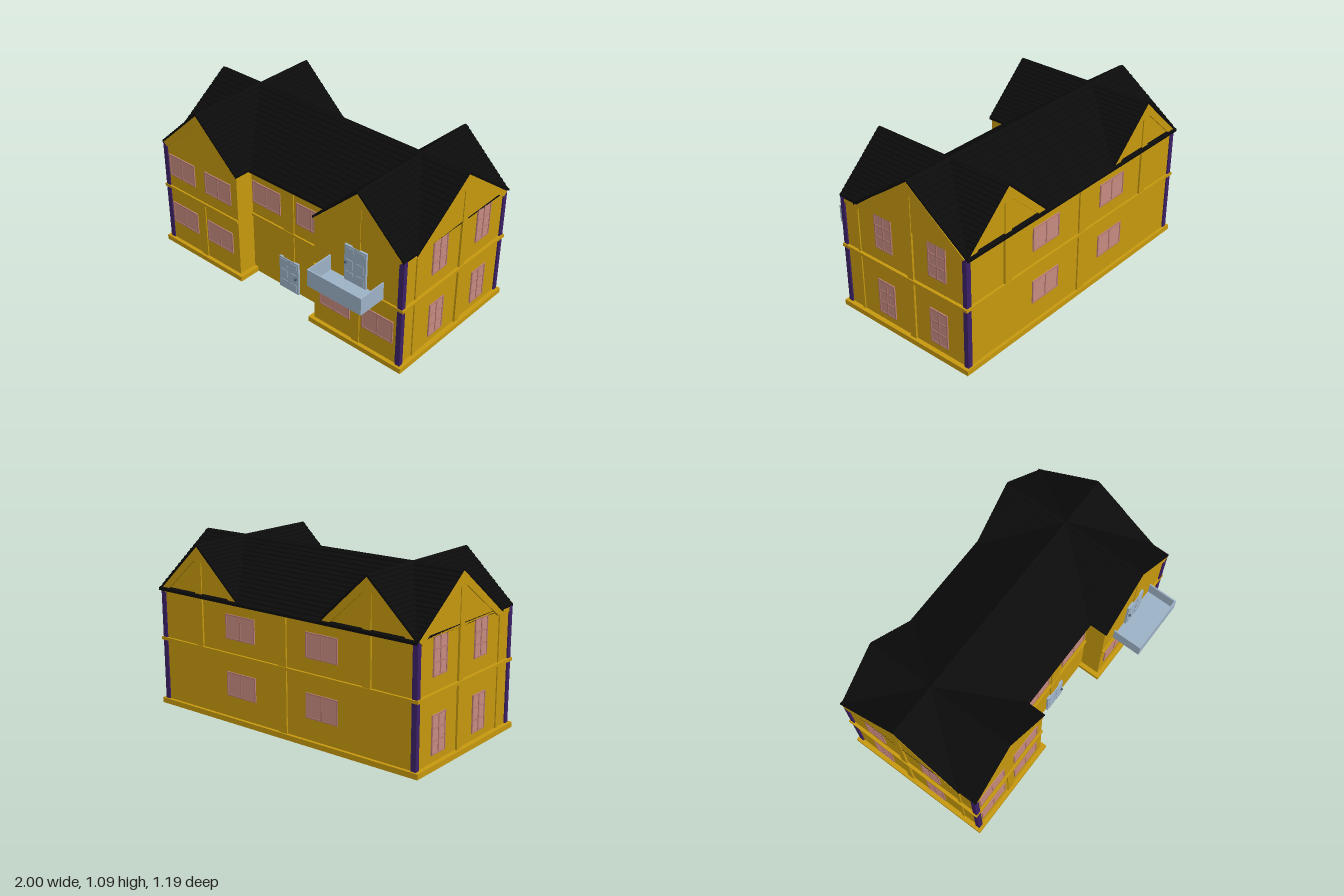
import * as THREE from 'three';

const mat = (color) => new THREE.MeshStandardMaterial({ color, flatShading: true });
const WALL = mat(0xc99b0f), ROOF = mat(0x0b0b0b), POST = mat(0x3d2068);
const GLASS = mat(0xc98d82), FRAME = mat(0xb87c74), BLUE = mat(0x9fb4c9), KNOB = mat(0x4a5560);

const RIDGE_Z = -0.15, CROSS_X = 0.645;

function add(parent, name, geometry, material, x = 0, y = 0, z = 0) {
  const mesh = new THREE.Mesh(geometry, material);
  mesh.name = name;
  mesh.position.set(x, y, z);
  parent.add(mesh);
  return mesh;
}

// box given by its limits
function box(parent, name, material, x0, x1, y0, y1, z0, z1) {
  return add(parent, name, new THREE.BoxGeometry(x1 - x0, y1 - y0, z1 - z0), material,
    (x0 + x1) / 2, (y0 + y1) / 2, (z0 + z1) / 2);
}

function extrude(points, depth) {
  const shape = new THREE.Shape(points.map(([x, y]) => new THREE.Vector2(x, y)));
  return new THREE.ExtrudeGeometry(shape, { depth, bevelEnabled: false });
}

// U-shaped ground plan raised to a height
function plan(x, xi, back, recess, front, height) {
  const points = [[-x, back], [x, back], [x, front], [xi, front], [xi, recess],
    [-xi, recess], [-xi, front], [-x, front]].map(([px, pz]) => [px, -pz]);
  return extrude(points, height).rotateX(-Math.PI / 2);
}

// pitched roof with overlapping courses, extruded along z
function roofGeometry(half, eave, ridge, length) {
  const courses = 16, lip = 0.006, thick = 0.017, right = [];
  for (let i = 0; i < courses; i++) {
    const at = (k) => [half * k / courses, ridge - lip + (eave - ridge) * k / courses];
    const [u0, y0] = at(i), [u1, y1] = at(i + 1);
    right.push([u0, y0], [u1, y1 + lip]);
  }
  right.push([half, eave - lip]);
  const left = right.slice(1).reverse().map(([u, y]) => [-u, y]);
  const under = [[half, eave - thick], [0, ridge - thick - 0.004], [-half, eave - thick]];
  return extrude([...left, ...right, ...under], length);
}

// triangular wall under a roof, extruded along z
const gableGeometry = (half, base, top, length) =>
  extrude([[-half, base], [half, base], [0, top]], length);

// sloping boards under the edge of a gable
function gableTrim(parent, u, half, base, top, depth) {
  const w = 0.065;
  add(parent, 'gableTrim', extrude([[-half, base], [-half + 0.03, base - 0.025], [0, top - w],
    [half - 0.03, base - 0.025], [half, base], [0, top]], depth), WALL, u);
}

function windowUnit(parent, u0, u1, y0, y1, rows) {
  const g = new THREE.Group();
  g.name = 'window';
  parent.add(g);
  const f = 0.008, d = 0.008;
  box(g, 'glass', GLASS, u0, u1, y0, y1, -0.01, 0.004);
  for (const u of [u0, (u0 + u1 - f) / 2, u1 - f]) box(g, 'mullion', FRAME, u, u + f, y0, y1, 0, d);
  for (let i = 0; i <= rows; i++) {
    const y = y0 + (y1 - y0 - f) * i / rows;
    box(g, 'glazingBar', FRAME, u0, u1, y, y + f, 0, d);
  }
}

function door(parent, name, u0, u1, y0, y1, knobU, knobY) {
  const g = new THREE.Group();
  g.name = name;
  parent.add(g);
  box(g, 'doorLeaf', BLUE, u0, u1, y0, y1, -0.01, 0.014);
  const w = (u1 - u0) / 2, h = (y1 - y0) / 3;
  for (let i = 0; i < 2; i++) for (let j = 0; j < 3; j++) {
    const u = u0 + i * w, y = y0 + j * h;
    box(g, 'doorPanel', BLUE, u + 0.014, u + w - 0.014, y + 0.012, y + h - 0.012, 0.01, 0.017);
  }
  add(g, 'doorKnob', new THREE.SphereGeometry(0.009, 12, 8), KNOB, knobU, knobY, 0.021);
}

// group whose local +z points out of a wall
function wallFace(parent, name, x, z, angle) {
  const g = new THREE.Group();
  g.name = name;
  g.position.set(x, 0, z);
  g.rotation.y = angle;
  parent.add(g);
  return g;
}

const LOWER = [0.17, 0.325], UPPER = [0.535, 0.69], BAND = [0.428, 0.447];

export function createModel() {
  const house = new THREE.Group();
  house.name = 'house';

  // walls and plinth
  add(house, 'plinth', plan(1, 0.29, -0.59, 0.265, 0.425, 0.034), WALL);
  add(house, 'walls', plan(0.97, 0.32, -0.57, 0.27, 0.4, 0.765), WALL);
  for (const s of [-1, 1]) {
    add(house, 'crossGable', gableGeometry(0.328, 0.76, 1.073, 0.98), WALL, s * CROSS_X, 0, -0.575);
    for (const z of [-0.563, 0.393])
      box(house, 'cornerPost', POST, s * 0.963 - 0.017, s * 0.963 + 0.017, 0.03, 0.768, z - 0.015, z + 0.015);
  }
  add(house, 'sideGable', gableGeometry(0.425, 0.762, 1.078, 1.956).rotateY(Math.PI / 2), WALL, -0.978, 0, RIDGE_Z);

  // roofs
  add(house, 'mainRoof', roofGeometry(0.445, 0.772, 1.095, 1.966).rotateY(Math.PI / 2), ROOF, -0.983, 0, RIDGE_Z);
  for (const s of [-1, 1])
    add(house, 'crossRoof', roofGeometry(0.333, 0.78, 1.095, 1.0), ROOF, s * CROSS_X, 0, -0.587);

  // front of the two wings
  const front = wallFace(house, 'frontFace', 0, 0.4, 0);
  for (const s of [-1, 1]) {
    const lo = s < 0 ? -0.99 : 0.32, hi = s < 0 ? -0.32 : 0.99;
    box(front, 'floorBand', WALL, lo, hi, ...BAND, -0.01, 0.012);
    box(front, 'timber', WALL, s * CROSS_X - 0.028, s * CROSS_X + 0.028, 0.03, 0.43, 0, 0.008);
    gableTrim(front, s * CROSS_X, 0.325, 0.768, 1.073, 0.012);
  }
  box(front, 'timber', WALL, 0.615, 0.67, 0.44, 1.02, 0, 0.009);
  for (const [a, b] of [[-0.935, -0.7], [-0.605, -0.375], [0.365, 0.6], [0.69, 0.92]]) {
    windowUnit(front, a, b, ...LOWER, 1);
    if (a < 0) windowUnit(front, a, b, ...UPPER, 1);
  }

  // balcony with its door
  door(front, 'balconyDoor', 0.56, 0.72, 0.455, 0.705, 0.575, 0.588);
  const balcony = new THREE.Group();
  balcony.name = 'balcony';
  house.add(balcony);
  box(balcony, 'balconyFloor', BLUE, 0.44, 0.84, 0.45, 0.46, 0.4, 0.597);
  box(balcony, 'balconyFront', BLUE, 0.44, 0.84, 0.45, 0.565, 0.588, 0.597);
  for (const x of [0.44, 0.831]) box(balcony, 'balconySide', BLUE, x, x + 0.009, 0.45, 0.565, 0.4, 0.597);

  // recessed entrance
  const entry = wallFace(house, 'entranceFace', 0, 0.27, 0);
  box(entry, 'floorBand', WALL, -0.32, 0.32, ...BAND, -0.01, 0.012);
  box(entry, 'timber', WALL, -0.05, 0.037, 0.2, 0.745, 0, 0.008);
  windowUnit(entry, -0.31, -0.075, ...UPPER, 1);
  windowUnit(entry, 0.06, 0.295, ...UPPER, 1);
  door(entry, 'frontDoor', -0.083, 0.077, 0, 0.235, 0.06, 0.118);

  // back
  const back = wallFace(house, 'backFace', 0, -0.57, Math.PI);
  box(back, 'floorBand', WALL, -0.99, 0.99, ...BAND, -0.01, 0.015);
  box(back, 'timber', WALL, 0, 0.06, 0.03, 0.75, 0, 0.01);
  for (const s of [-1, 1]) {
    box(back, 'timber', WALL, s * CROSS_X - 0.028, s * CROSS_X + 0.028, 0.44, 1.02, 0, 0.012);
    gableTrim(back, s * CROSS_X, 0.325, 0.768, 1.073, 0.014);
    const a = s < 0 ? -0.425 : 0.205;
    for (const rows of [LOWER, UPPER]) windowUnit(back, a, a + 0.235, ...rows, 1);
  }

  // two ends, mirrored: horizontal position is s * -z
  for (const s of [-1, 1]) {
    const side = wallFace(house, s > 0 ? 'leftFace' : 'rightFace', s * 0.97, 0, s * Math.PI / 2);
    const span = (z0, z1) => [-s * z0, -s * z1].sort((p, q) => p - q);
    box(side, 'floorBand', WALL, ...span(-0.585, 0.405), ...BAND, -0.01, 0.02);
    box(side, 'timber', WALL, ...span(-0.17, -0.125), 0.03, 1.02, 0, 0.013);
    box(side, 'timber', WALL, ...span(0.267, 0.287), 0.03, 0.74, 0, 0.008);
    box(side, 'eaveBoard', WALL, ...span(0.26, 0.4), 0.738, 0.762, 0, 0.008);
    gableTrim(side, -s * RIDGE_Z, 0.42, 0.766, 1.078, 0.015);
    for (const [z0, z1] of [[0, 0.135], [-0.42, -0.285]])
      for (const [y0, y1] of [[0.08, 0.315], [0.535, 0.768]])
        windowUnit(side, ...span(z0, z1), y0, y1, 3);
  }
  return house;
}
